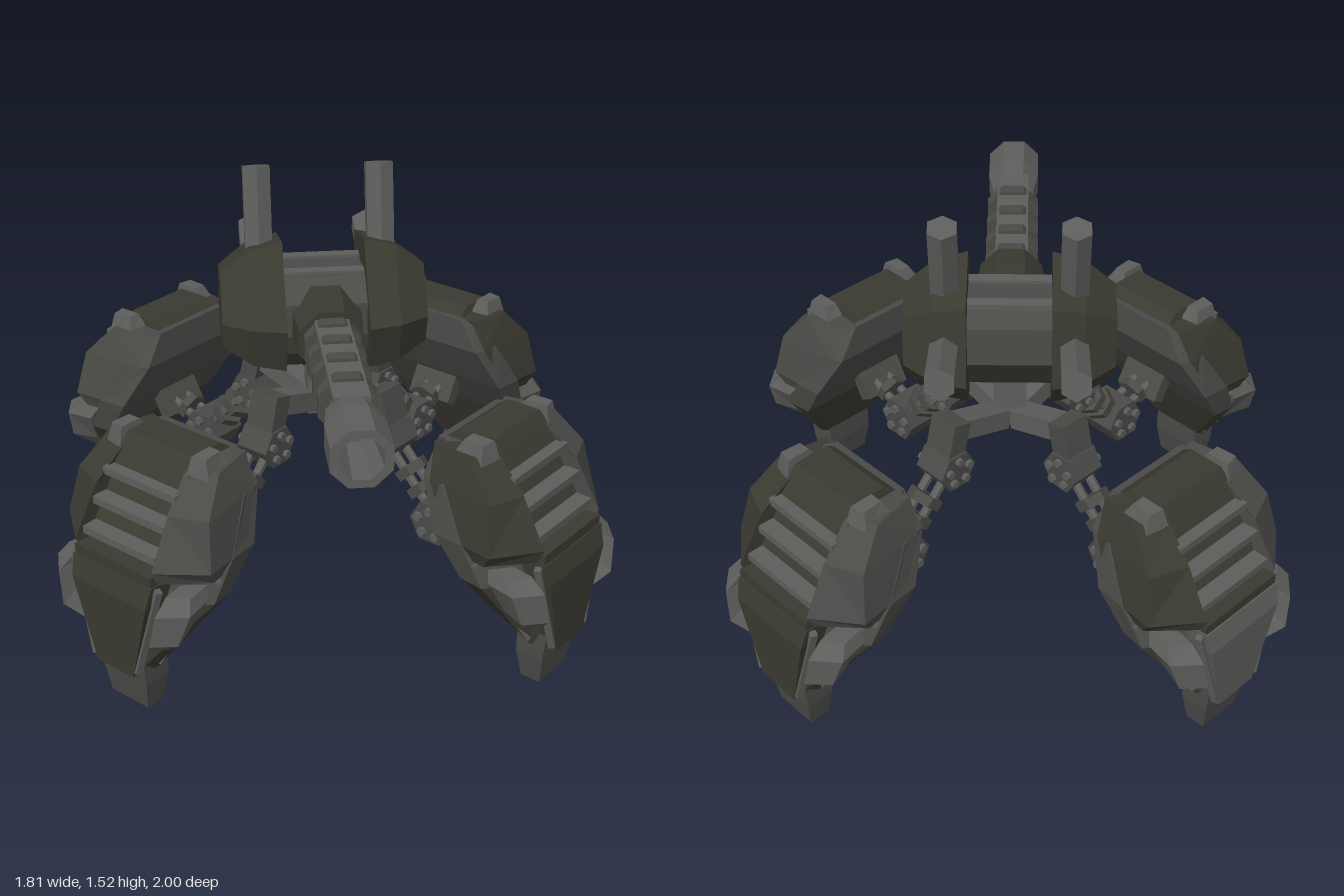
import * as THREE from 'three';

const mat = (name, color) => Object.assign(new THREE.MeshStandardMaterial({ color, flatShading: true }), { name });
const olive = mat('olive armour', 0x3b3a31);
const grey = mat('grey metal', 0x5d5d5b);
const dark = mat('dark grey metal', 0x4a4a47);
const V = (x, y, z) => new THREE.Vector3(x, y, z);

function add(parent, name, geometry, material, x = 0, y = 0, z = 0) {
  const m = new THREE.Mesh(geometry, material);
  m.name = name;
  m.position.set(x, y, z);
  parent.add(m);
  return m;
}

// Closed solid through rings of Vector3 with equal counts; winding is fixed by signed volume.
function loft(rings) {
  const n = rings[0].length, tris = [];
  for (let i = 0; i < rings.length - 1; i++) {
    for (let j = 0; j < n; j++) {
      const k = (j + 1) % n, a = rings[i], b = rings[i + 1];
      tris.push([a[j], a[k], b[k]], [a[j], b[k], b[j]]);
    }
  }
  const cap = (ring, flip) => {
    const c = ring.reduce((s, p) => s.add(p), V(0, 0, 0)).divideScalar(n);
    ring.forEach((p, j) => {
      const q = ring[(j + 1) % n];
      tris.push(flip ? [c, q, p] : [c, p, q]);
    });
  };
  cap(rings[0], true);
  cap(rings[rings.length - 1], false);
  const volume = tris.reduce((s, [a, b, c]) => s + a.dot(b.clone().cross(c)), 0);
  const points = tris.flatMap(([a, b, c]) => (volume < 0 ? [a, c, b] : [a, b, c]));
  const g = new THREE.BufferGeometry().setFromPoints(points);
  g.computeVertexNormals();
  return g;
}

// Rings at height y from [x, z] corners, optionally mirrored in x
const layers = (rows, side = 1) => loft(rows.map(([y, ...pts]) => pts.map(([x, z]) => V(x * side, y, z))));

// Rings at height y from [y, half width, back z, front z]
const block = (rows) => layers(rows.map(([y, w, a, b]) => [y, [-w, a], [w, a], [w, b], [-w, b]]));

function rod(parent, name, a, b, r, sides, material) {
  const d = b.clone().sub(a);
  const m = add(parent, name, new THREE.CylinderGeometry(r, r, d.length(), sides), material);
  m.position.copy(a).addScaledVector(d, 0.5);
  m.quaternion.setFromUnitVectors(V(0, 1, 0), d.normalize());
  return m;
}

// Hexagonal drum across the leg with bolts on both ends
function joint(parent, name, y, z, r, w) {
  const g = new THREE.Group();
  g.name = name;
  g.position.set(0, y, z);
  rod(g, 'drum', V(-w, 0, 0), V(w, 0, 0), r, 6, dark);
  for (const s of [-1, 1]) {
    for (let i = 0; i < 5; i++) {
      const a = (i / 5) * Math.PI * 2, by = Math.cos(a) * r * 0.58, bz = Math.sin(a) * r * 0.58;
      rod(g, 'bolt', V(s * w * 0.9, by, bz), V(s * (w + 0.015), by, bz), r * 0.2, 6, grey);
    }
  }
  parent.add(g);
}

// Leg pointing along +z from the hub
function createLeg(shinMaterial) {
  const leg = new THREE.Group();
  leg.name = 'leg';

  // Hip arm and linkage
  const arm = add(leg, 'hipArm', new THREE.BoxGeometry(0.08, 0.07, 0.24), grey, 0, 0.755, 0.15);
  arm.rotation.x = -0.3;
  const bracket = add(leg, 'hipBracket', new THREE.BoxGeometry(0.11, 0.12, 0.07), dark, 0, 0.77, 0.28);
  bracket.rotation.x = -0.25;
  joint(leg, 'upperJoint', 0.655, 0.295, 0.074, 0.062);
  for (const x of [-0.03, 0.03]) rod(leg, 'linkRod', V(x, 0.66, 0.3), V(x, 0.44, 0.51), 0.016, 6, grey);
  rod(leg, 'linkCollar', V(0, 0.575, 0.38), V(0, 0.55, 0.405), 0.06, 6, dark);
  rod(leg, 'linkCollar', V(0, 0.525, 0.43), V(0, 0.5, 0.455), 0.06, 6, dark);
  joint(leg, 'lowerJoint', 0.425, 0.52, 0.082, 0.068);
  for (const x of [-0.03, 0.03]) rod(leg, 'shellRod', V(x, 0.43, 0.52), V(x, 0.52, 0.75), 0.016, 6, grey);
  rod(leg, 'shellCollar', V(0, 0.467, 0.615), V(0, 0.478, 0.643), 0.055, 6, dark);
  const mount = add(leg, 'shellMount', new THREE.BoxGeometry(0.18, 0.15, 0.05), dark, 0, 0.51, 0.705);
  mount.rotation.x = 0.5;

  // Leaf-shaped inner shell: y, inner [w, z], shoulder [w, z], outer [w, z]
  const shell = [
    [0.83, [0.16, 0.61], [0.18, 0.65], [0.12, 0.74]],
    [0.72, [0.235, 0.605], [0.26, 0.7], [0.15, 0.83]],
    [0.56, [0.29, 0.69], [0.3, 0.8], [0.16, 0.93]],
    [0.42, [0.27, 0.785], [0.28, 0.87], [0.14, 0.98]],
    [0.15, [0.08, 0.915], [0.1, 0.95], [0.07, 1.02]],
  ].map(([y, a, b, c]) => [y, [-a[0], a[1]], a, b, c, [-c[0], c[1]], [-b[0], b[1]]]);
  add(leg, 'upperInnerShell', layers(shell.slice(0, 4)), dark);
  add(leg, 'lowerInnerShell', layers(shell.slice(3)), olive);

  // Outer armour
  add(leg, 'topPlate', block([[0.76, 0.17, 0.62, 0.86], [0.82, 0.15, 0.62, 0.82], [0.858, 0.14, 0.67, 0.79]]), olive);
  add(leg, 'louvreRecess', block([[0.8, 0.16, 0.7, 0.82], [0.51, 0.17, 0.8, 0.99]]), olive);
  for (const s of [-1, 1]) {
    add(leg, 'cornerLump', layers([
      [0.8, [0.14, 0.83], [0.22, 0.81], [0.22, 0.69], [0.14, 0.68]],
      [0.872, [0.15, 0.81], [0.2, 0.8], [0.195, 0.73], [0.15, 0.73]],
    ], s), grey);
    add(leg, 'sidePlate', layers([
      [0.83, [0.13, 0.81], [0.235, 0.78], [0.2, 0.62], [0.13, 0.64]],
      [0.72, [0.155, 0.93], [0.28, 0.88], [0.25, 0.64], [0.14, 0.75]],
      [0.56, [0.165, 1.02], [0.31, 0.91], [0.29, 0.73], [0.14, 0.85]],
      [0.51, [0.16, 1.0], [0.29, 0.88], [0.27, 0.75], [0.14, 0.85]],
    ], s), s > 0 ? dark : olive);
    add(leg, 'sideFin', layers([
      [0.48, [0.2, 1.0], [0.265, 0.96], [0.25, 0.87], [0.18, 0.87]],
      [0.44, [0.21, 1.06], [0.29, 0.99], [0.27, 0.89], [0.17, 0.88]],
      [0.33, [0.19, 1.07], [0.255, 1.01], [0.22, 0.92], [0.12, 0.9]],
      [0.27, [0.14, 1.02], [0.18, 0.98], [0.17, 0.93], [0.1, 0.92]],
    ], s), grey);
    rod(leg, 'innerRidge', V(s * 0.275, 0.5, 0.835), V(s * 0.1, 0.17, 0.945), 0.016, 4, grey);
    rod(leg, 'outerRidge', V(s * 0.18, 0.5, 1.01), V(s * 0.09, 0.17, 1.03), 0.016, 4, grey);
  }
  for (const [y, z] of [[0.755, 0.86], [0.67, 0.91], [0.585, 0.96]]) {
    add(leg, 'louvre', new THREE.BoxGeometry(0.31, 0.026, 0.07), grey, 0, y, z);
  }
  add(leg, 'ledge', new THREE.BoxGeometry(0.33, 0.04, 0.08), olive, 0, 0.525, 0.985);
  add(leg, 'shinPlate', block([[0.51, 0.17, 0.9, 1.03], [0.44, 0.16, 0.92, 1.05], [0.15, 0.08, 0.93, 1.04]]), shinMaterial);
  add(leg, 'foot', block([[0.2, 0.095, 0.9, 1.01], [0.1, 0.095, 0.9, 1.0], [0, 0.08, 0.915, 0.985]]), dark);
  return leg;
}

export function createModel() {
  const model = new THREE.Group();
  model.name = 'walker';

  // Four legs around the hub
  const legs = new THREE.Group();
  legs.name = 'legs';
  legs.position.z = -0.09;
  for (let i = 0; i < 4; i++) {
    const leg = createLeg(i === 2 ? grey : olive);
    leg.rotation.y = Math.PI / 4 + (i * Math.PI) / 2;
    legs.add(leg);
  }
  model.add(legs);
  add(model, 'stem', block([[0.69, 0.055, -0.13, -0.005], [0.95, 0.055, -0.13, -0.005]]), grey);

  // Central hull between the side pods, olive below
  const extrude = (profile) => loft([-0.15, 0.15].map((x) => profile.map(([z, y]) => V(x, y, z))));
  add(model, 'hull', extrude([[0.08, 1.13], [0, 1.2], [-0.18, 1.2], [-0.24, 1.15], [-0.25, 1.02], [0.08, 1.02]]), dark);
  add(model, 'hullBottom', extrude([[0.08, 1.02], [-0.25, 1.02], [-0.18, 0.9], [0.04, 0.9], [0.08, 0.96]]), olive);
  for (const z of [-0.03, -0.17]) add(model, 'roofBar', new THREE.BoxGeometry(0.28, 0.03, 0.04), grey, 0, 1.195, z);

  // Faceted side pods with exhaust posts
  const pod = [[0.16, 1.07], [-0.03, 1.31], [-0.28, 1.25], [-0.34, 0.99], [-0.165, 0.81], [0.11, 0.91]];
  const centre = [-0.1, 1.05];
  for (const s of [-1, 1]) {
    const rings = [[0.135, 1], [0.24, 0.9], [0.34, 0.6]].map(([x, k]) =>
      pod.map(([z, y]) => V(s * x, centre[1] + (y - centre[1]) * k, centre[0] + (z - centre[0]) * k)));
    add(model, 'sidePod', loft(rings), olive);
    rod(model, 'upperPost', V(s * 0.205, 1.18, -0.135), V(s * 0.205, 1.51, -0.22), 0.052, 6, grey);
    rod(model, 'rearPost', V(s * 0.205, 1.09, -0.25), V(s * 0.205, 1.17, -0.56), 0.052, 6, grey);
  }

  // Cannon: tapered mount, two rails, collars and a hollow muzzle
  const cannon = new THREE.Group();
  cannon.name = 'cannon';
  cannon.position.y = 1.06;
  const lathe = (name, pts, material) => {
    const g = new THREE.LatheGeometry(pts.map(([r, z]) => new THREE.Vector2(r, z)), 8, Math.PI / 8);
    g.rotateX(Math.PI / 2);
    add(cannon, name, g, material);
  };
  lathe('mount', [[0, 0.02], [0.125, 0.02], [0.12, 0.13], [0.112, 0.22], [0, 0.22]], olive);
  for (const s of [-1, 1]) add(cannon, 'rail', new THREE.BoxGeometry(0.11, 0.03, 0.58), grey, 0, s * 0.064, 0.48);
  for (const z of [0.255, 0.38, 0.51, 0.645]) {
    lathe('collar', [[0.055, z - 0.024], [0.097, z - 0.024], [0.097, z + 0.024], [0.055, z + 0.024], [0.055, z - 0.024]], dark);
  }
  lathe('muzzle', [[0, 0.74], [0.08, 0.74], [0.098, 0.85], [0.098, 1], [0.07, 1], [0.055, 0.8], [0, 0.8]], grey);
  model.add(cannon);
  return model;
}
